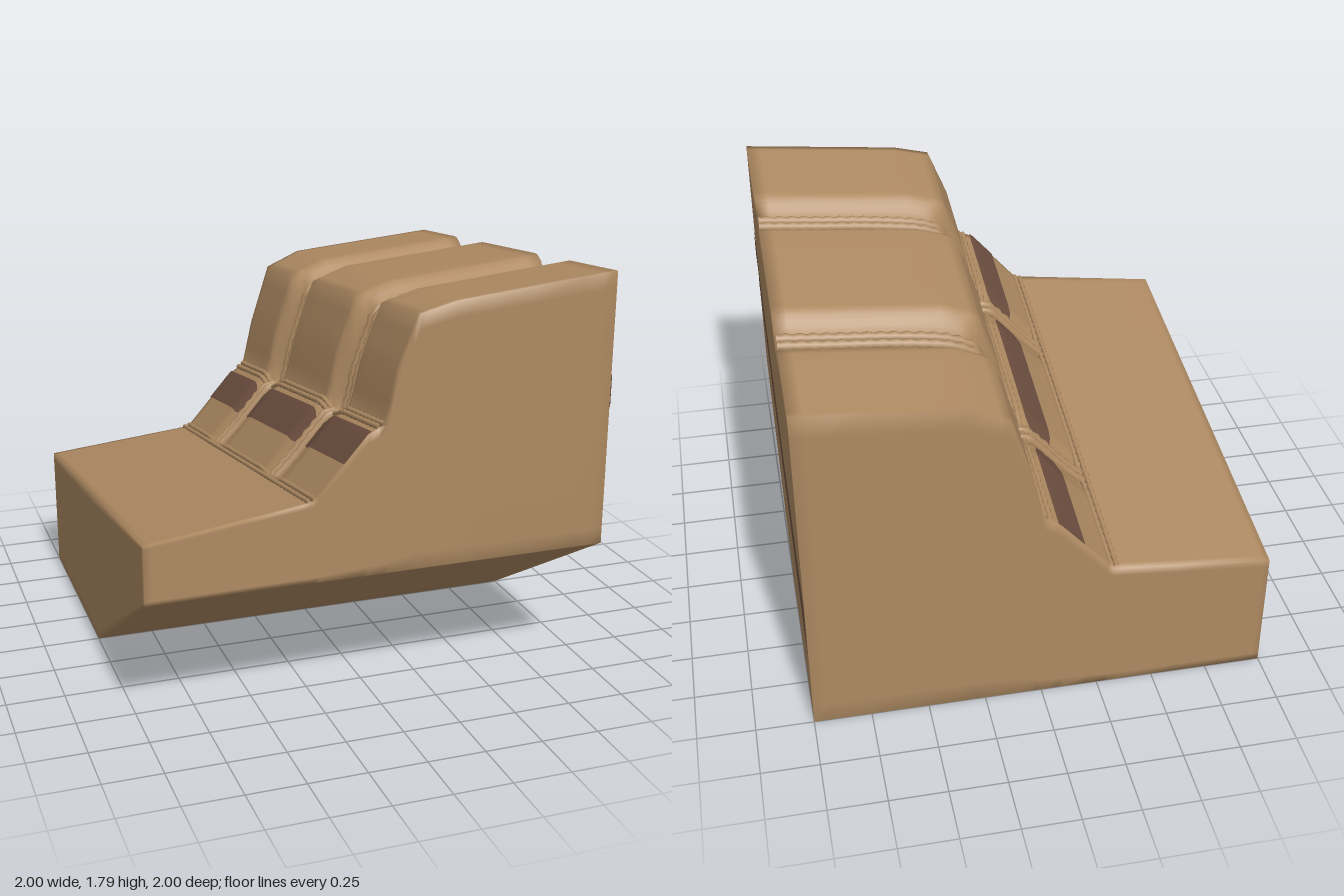
import * as THREE from 'three';
import { mergeVertices } from 'three/addons/utils/BufferGeometryUtils.js';

const SEAMS = [-0.445, 0.43];
const smooth = THREE.MathUtils.smoothstep;

// Stepped profile: x, height at the front end, height at the back end
const PROFILE = [
  [-1, 0.85, 0.57], [-0.3, 0.945, 0.64], [-0.28, 0.965, 0.66], [-0.07, 1.205, 0.9],
  [0, 1.235, 0.95], [0.05, 1.46, 1.17], [0.14, 1.68, 1.45], [0.3, 1.72, 1.52], [1, 1.79, 1.585],
];

function profile(x, z) {
  const t = (z + 1) / 2;
  let i = 1;
  while (i < PROFILE.length - 1 && x > PROFILE[i][0]) i++;
  const a = PROFILE[i - 1], b = PROFILE[i];
  const k = Math.max(0, (x - a[0]) / (b[0] - a[0]));
  const front = a[1] + (b[1] - a[1]) * k, back = a[2] + (b[2] - a[2]) * k;
  return back + (front - back) * t;
}

// Upper surface with rounded grooves between the cushions
function top(x, z) {
  const d = Math.min(...SEAMS.map((s) => Math.abs(z - s)));
  const g = 0.065 * (1 - smooth(d, 0.03, 0.16)) * smooth(x, -0.32, -0.26)
    * (0.3 + 0.7 * smooth(x, -0.02, 0.04));
  return profile(x - 0.7 * g, z) - g;
}

const bottom = (z) => 0.6 * Math.max(0, z);

function range(a, b, step) {
  const out = [];
  for (let v = a; v < b + 1e-6; v += step) out.push(v);
  return out;
}

// Closed block: a box grid whose columns follow the two surfaces
function bodyGeometry() {
  const xs = [-1, -0.97, -0.6, -0.34, -0.3, -0.28, -0.2, -0.1, -0.07, -0.03, 0, 0.02, 0.05, 0.08,
    0.11, 0.14, 0.18, 0.23, 0.3, 0.45, 0.65, 0.85, 0.94, 1];
  const zs = [-1, -0.97, -0.8, -0.66, ...range(-0.605, -0.28, 0.02), -0.15, 0, 0.15,
    ...range(0.27, 0.595, 0.02), 0.7, 0.85, 0.97, 1];
  const ts = [0, 0.06, 0.2, 0.4, 0.6, 0.75, 0.85, 0.94, 1];
  const box = new THREE.BoxGeometry(1, 1, 1, xs.length - 1, ts.length - 1, zs.length - 1);
  const p = box.attributes.position;
  const pick = (list, v) => list[Math.round((v + 0.5) * (list.length - 1))];
  for (let i = 0; i < p.count; i++) {
    let x = pick(xs, p.getX(i));
    const z = pick(zs, p.getZ(i)), t = pick(ts, p.getY(i));
    const y = bottom(z) + t * (top(x, z) - bottom(z));
    // Small pinch in the side below the front seam
    if (x === 1) x -= 0.035 * Math.max(0, 1 - Math.abs(z - 0.45) / 0.12) * smooth(y, 1.28, 1.6);
    p.setXYZ(i, x, y, z);
  }
  box.deleteAttribute('normal');
  box.deleteAttribute('uv');
  const geo = mergeVertices(box, 1e-5);
  geo.computeVertexNormals();
  return geo;
}

// Piping: a tube whose radius swells and narrows like a twisted cord
function ropeGeometry(points, radius, beads) {
  const curve = new THREE.CatmullRomCurve3(points, false, 'centripetal');
  const n = beads * 4, sides = 8;
  const geo = new THREE.TubeGeometry(curve, n, radius, sides, false);
  const p = geo.attributes.position, v = new THREE.Vector3();
  for (let i = 0; i <= n; i++) {
    const c = curve.getPointAt(i / n);
    const k = 1 + 0.16 * Math.sin((i * Math.PI) / 2);
    for (let j = 0; j <= sides; j++) {
      const id = i * (sides + 1) + j;
      v.fromBufferAttribute(p, id).sub(c).multiplyScalar(k).add(c);
      p.setXYZ(id, v.x, v.y, v.z);
    }
  }
  return geo;
}

// Thin painted panel lying on the sloped face between z0 and z1
function slopeStripe(z0, z1) {
  const geo = new THREE.PlaneGeometry(1, 1, 6, 30);
  const p = geo.attributes.position;
  for (let i = 0; i < p.count; i++) {
    const z = z0 + (0.5 - p.getY(i)) * (z1 - z0);
    const nearSeam = Math.min(...SEAMS.map((s) => Math.abs(z - s)));
    const half = 0.042 + 0.016 * smooth(nearSeam, 0.04, 0.12);
    const x = -0.118 + p.getX(i) * 2 * half;
    p.setXYZ(i, x, top(x, z) + 0.008, z);
  }
  geo.computeVertexNormals();
  return geo;
}

export function createModel() {
  const group = new THREE.Group();
  const tan = new THREE.MeshStandardMaterial({ color: 0xae8a62 });
  const brown = new THREE.MeshStandardMaterial({ color: 0x6e5040 });
  tan.name = 'tan';
  brown.name = 'darkBrown';
  brown.side = THREE.DoubleSide;

  const add = (name, geo, mat) => {
    const mesh = new THREE.Mesh(geo, mat);
    mesh.name = name;
    group.add(mesh);
  };

  add('body', bodyGeometry(), tan);

  // Double piping in each groove between cushions
  const path = [-0.28, -0.2, -0.1, -0.04, 0, 0.03, 0.06, 0.09, 0.12, 0.15, 0.18, 0.22, 0.3, 0.5, 0.75, 0.995];
  for (const s of SEAMS) {
    for (const o of [-0.024, 0.024]) {
      const pts = path.map((x) => new THREE.Vector3(x, top(x, s + o) + 0.006, s + o));
      add('cushionPiping', ropeGeometry(pts, 0.022, 32), tan);
    }
  }

  // Lengthwise piping along the top and foot of the sloped face
  for (const [x, r] of [[-0.024, 0.012], [-0.002, 0.012], [-0.318, 0.011], [-0.294, 0.011]]) {
    const pts = range(-0.99, 0.991, 0.06).map((z) => new THREE.Vector3(x, top(x, z) + 0.004, z));
    add(x > -0.1 ? 'upperPiping' : 'lowerPiping', ropeGeometry(pts, r, 44), tan);
  }

  // Stripe panels on the sloped face
  for (const [a, b] of [[-0.998, -0.485], [-0.395, 0.385], [0.475, 0.998]]) {
    add('slopeStripe', slopeStripe(a, b), brown);
  }

  // Long stripe on the tall side, outlined as (z, y)
  const outline = [[1, 1.35], [0.96, 1.35], [0.86, 1.33], [0.82, 1.3], [0.83, 1.25], [0.78, 1.23],
    [0.5, 1.12], [0.3, 1.06], [0, 0.94], [-0.2, 0.88], [-0.4, 0.83], [-0.7, 0.74], [-1, 0.64],
    [-1, 0.37], [-0.7, 0.48], [-0.4, 0.59], [0, 0.72], [0.3, 0.84], [0.65, 0.97], [0.91, 1.08],
    [0.91, 1.12], [0.88, 1.14], [0.9, 1.18], [1, 1.21]];
  const stripe = new THREE.ShapeGeometry(
    new THREE.Shape(outline.map(([z, y]) => new THREE.Vector2(-z, y))));
  stripe.rotateY(Math.PI / 2);
  stripe.translate(1.003, 0, 0);
  add('sideStripe', stripe, brown);

  return group;
}
